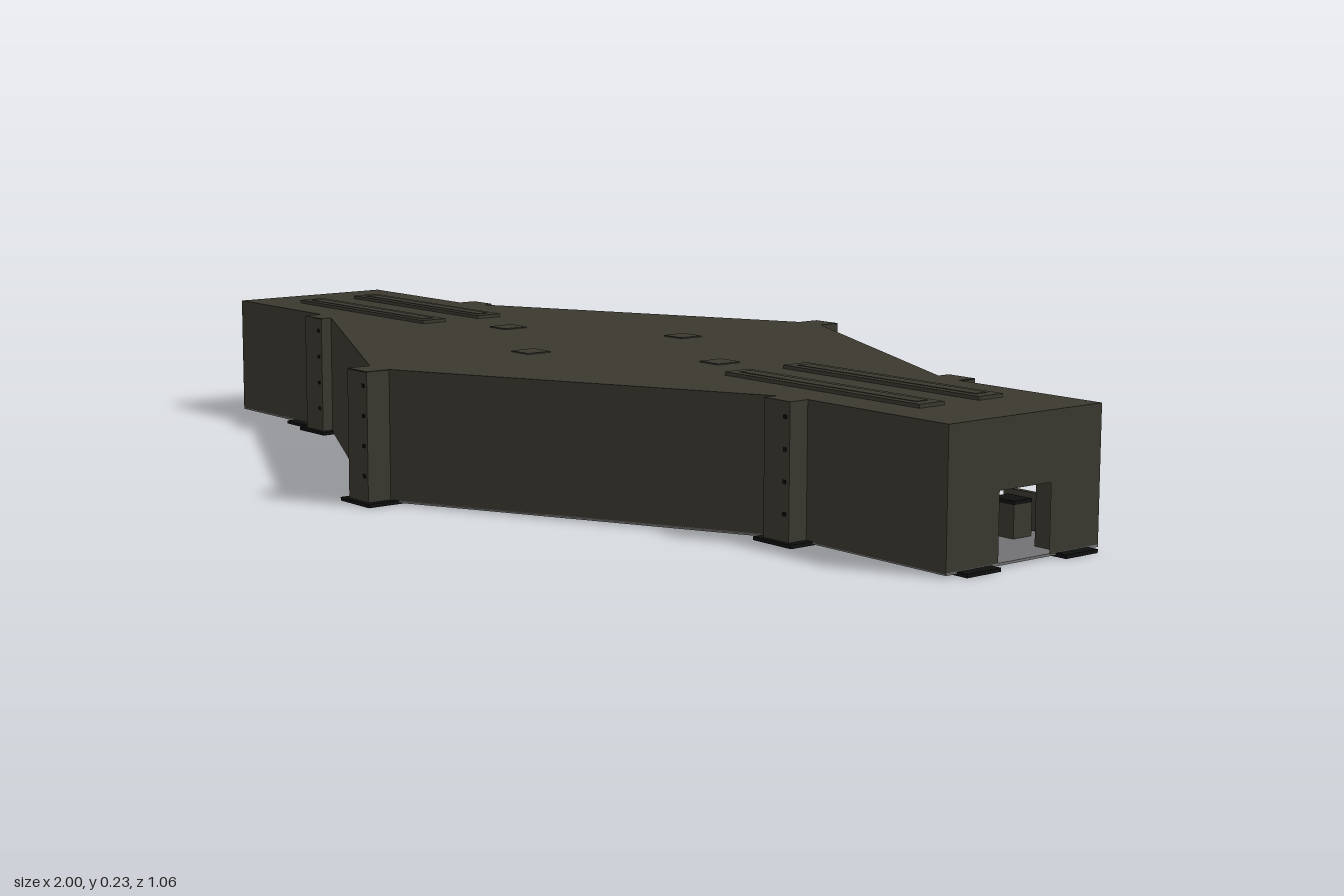
import * as THREE from 'three';

export function createModel() {
  const model = new THREE.Group();
  const mat = (name, color, side = THREE.FrontSide) => {
    const m = new THREE.MeshStandardMaterial({ color, side });
    m.name = name;
    return m;
  };
  const olive = mat('dark olive', 0x3a382f, THREE.DoubleSide);
  const grey = mat('floor grey', 0x727274);
  const black = mat('near black', 0x0e100e);

  const add = (name, geometry, material, parent = model) => {
    const mesh = new THREE.Mesh(geometry, material);
    mesh.name = name;
    parent.add(mesh);
    return mesh;
  };
  // Box from its minimum and maximum corners
  const box = (name, material, x0, x1, y0, y1, z0, z1, parent = model) => {
    const mesh = add(name, new THREE.BoxGeometry(x1 - x0, y1 - y0, z1 - z0), material, parent);
    mesh.position.set((x0 + x1) / 2, (y0 + y1) / 2, (z0 + z1) / 2);
    return mesh;
  };

  const BASE = 0.005, TOP = 0.224, MID = -0.01;
  // Plan of the hall as [x, z], starting at the back of the +x end
  const plan = [
    [0.98, -0.163], [0.98, 0.163], [0.65, 0.163], [MID, 0.495], [-0.67, 0.163],
    [-1, 0.163], [-1, -0.163], [-0.67, -0.163], [MID, -0.495], [0.65, -0.163],
  ];
  const points = plan.map(([x, z]) => new THREE.Vector2(x, -z));
  const slab = (name, material, y, thickness, hole) => {
    const shape = new THREE.Shape(points);
    if (hole) shape.holes.push(new THREE.Path(hole.map(([x, z]) => new THREE.Vector2(x, -z))));
    const geometry = new THREE.ExtrudeGeometry(shape, { depth: thickness, bevelEnabled: false });
    geometry.rotateX(-Math.PI / 2);
    add(name, geometry, material).position.y = y;
  };
  slab('roof', olive, TOP - 0.003, 0.003);
  slab('floor', grey, BASE - 0.002, 0.004, [[0.34, 0], [MID, 0.18], [-0.34, 0], [MID, -0.18]]);

  // Outer walls: ends have a doorway, the back of the +x half stays open
  for (let i = 0; i < 8; i++) {
    const [ax, az] = plan[i], [bx, bz] = plan[i + 1];
    const length = Math.hypot(bx - ax, bz - az);
    const h = TOP - BASE, half = length / 2;
    const shape = new THREE.Shape();
    shape.moveTo(-half, 0);
    if (i === 0 || i === 5) {
      shape.lineTo(-0.055, 0);
      shape.lineTo(-0.055, 0.11);
      shape.lineTo(0.055, 0.11);
      shape.lineTo(0.055, 0);
    }
    shape.lineTo(half, 0);
    shape.lineTo(half, h);
    shape.lineTo(-half, h);
    const isEnd = i === 0 || i === 5;
    const wall = add(isEnd ? 'endWall' : 'sideWall', new THREE.ShapeGeometry(shape), olive);
    wall.position.set((ax + bx) / 2, BASE, (az + bz) / 2);
    wall.rotation.y = Math.atan2(bx - ax, bz - az) + Math.PI / 2;
  }

  // Corner pillars with base plates, dark caps and rivets
  for (const side of [-1, 1]) {
    for (const [x, z] of [[-0.67, 0.165], [MID, 0.49], [0.655, 0.165]]) {
      const pillar = new THREE.Group();
      pillar.name = 'cornerPillar';
      pillar.position.set(x, 0, side * z);
      box('pillarShaft', olive, -0.029, 0.029, 0.004, TOP, -0.034, 0.034, pillar);
      box('pillarBase', black, -0.043, 0.043, 0.001, 0.007, -0.042, 0.042, pillar);
      box('pillarCap', black, -0.029, 0.029, TOP - 0.002, TOP - 0.0005, -0.034, 0.034, pillar);
      for (const y of [0.05, 0.1, 0.15, 0.2]) {
        const z0 = side * 0.034;
        box('rivet', black, 0.016, 0.022, y - 0.003, y + 0.003, z0 - 0.002, z0 + 0.002, pillar);
      }
      model.add(pillar);
    }
  }

  // Long roof bars, two at each end, also showing at the ceiling
  for (const [x0, x1] of [[-0.89, -0.455], [0.41, 0.85]]) {
    for (const z of [0.066, -0.06]) {
      box('roofBar', olive, x0, x1, 0.21, 0.23, z - 0.026, z + 0.026);
      box('roofBarRidge', olive, x0 + 0.02, x1 - 0.02, 0.229, 0.231, z - 0.012, z + 0.012);
    }
  }

  // Square roof hatches around the centre
  for (const [x, z] of [[-0.31, 0], [0.29, 0], [MID, 0.17], [MID, -0.17]]) {
    box('roofHatch', olive, x - 0.024, x + 0.024, TOP - 0.002, TOP + 0.002, z - 0.024, z + 0.024);
  }

  // Black foot plates under the two ends
  for (const [x0, x1, z0, z1] of [
    [0.93, 1, 0.07, 0.14], [0.93, 1, -0.14, -0.07], [0.66, 0.88, -0.182, -0.13],
    [0.8, 0.87, -0.045, 0.025], [0.71, 0.78, 0.035, 0.1],
    [-0.9, -0.79, -0.205, 0], [-0.95, -0.875, 0.05, 0.13], [-0.8, -0.68, 0.11, 0.182],
  ]) box('footPlate', black, x0, x1, 0, 0.006, z0, z1);

  // Equipment standing in the open bay
  for (const [x, z, w, h, d] of [
    [0.95, -0.1, 0.04, 0.13, 0.045], [0.95, 0.1, 0.04, 0.13, 0.045],
    [0.85, -0.11, 0.05, 0.06, 0.04], [0.835, -0.01, 0.05, 0.08, 0.04],
    [0.745, 0.068, 0.05, 0.11, 0.045], [0.75, -0.1, 0.07, 0.05, 0.04],
  ]) {
    box('equipmentCabinet', olive, x - w / 2, x + w / 2, 0.005, h, z - d / 2, z + d / 2);
    box('equipmentTop', black, x - w / 2, x + w / 2, h, h + 0.006, z - d / 2, z + d / 2);
  }
  box('lowBarrier', olive, 0.78, 0.88, 0.005, 0.065, -0.178, -0.168);

  return model;
}
